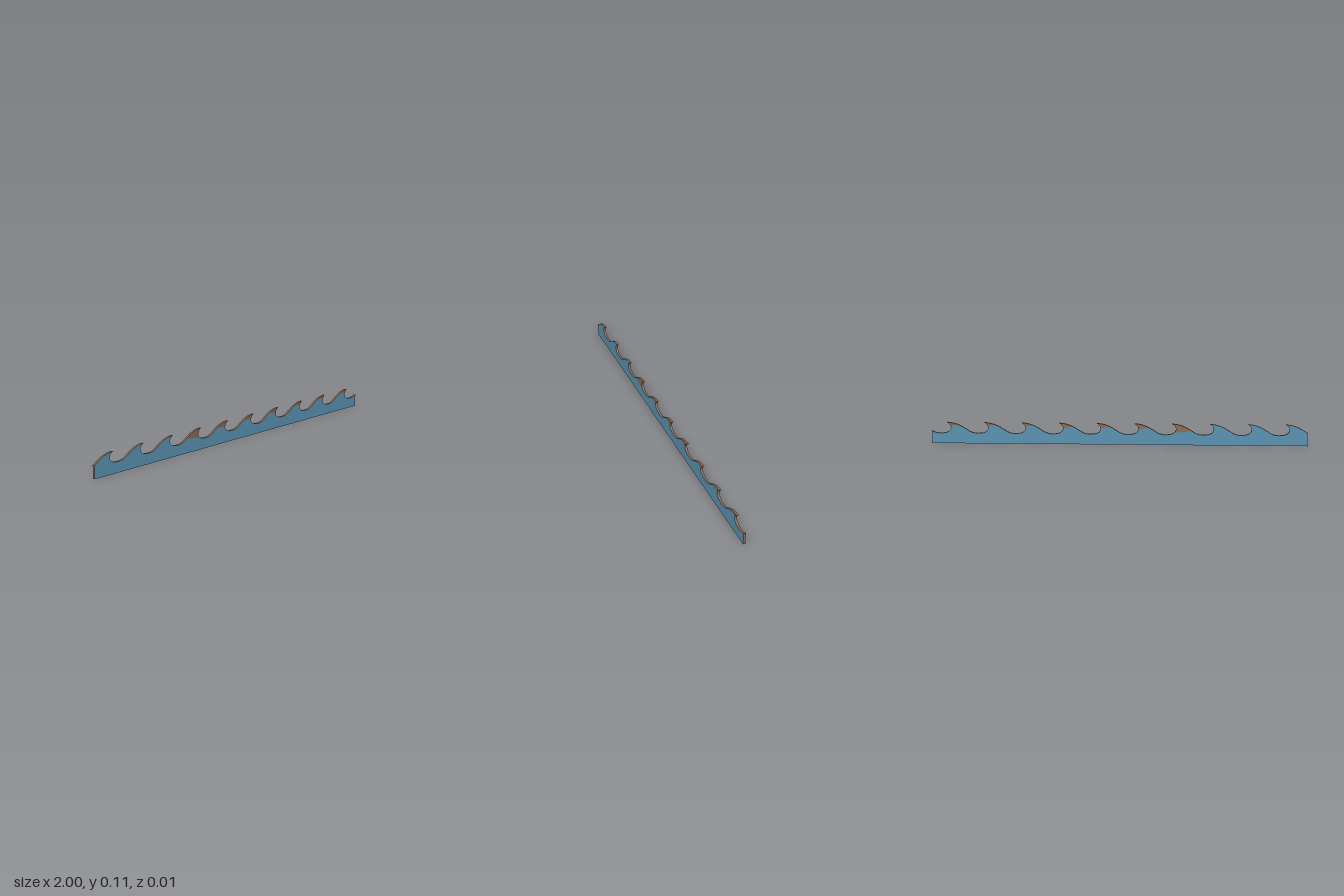
import * as THREE from 'three';

const PERIOD = 0.2, WAVES = 10, FIRST_TIP = -0.882, DEPTH = 0.012;
const v = (x, y) => new THREE.Vector2(x, y);
const bezier = (...p) => new THREE.CubicBezierCurve(...p.map(([x, y]) => v(x, y)));

// One wave, measured from its tip: rising back, hollow curl, trough
const back = bezier([-0.118, 0.068], [-0.075, 0.098], [-0.045, 0.112], [0, 0.114]).getPoints(10);
const curl = bezier([0, 0.114], [-0.035, 0.095], [-0.025, 0.058], [0.02, 0.056]).getPoints(10);
const trough = bezier([0.02, 0.056], [0.045, 0.054], [0.062, 0.056], [0.082, 0.068]).getPoints(6);

// Upright sheet centred on z = 0
function sheet(points, depth) {
  const geometry = new THREE.ExtrudeGeometry(new THREE.Shape(points), { depth, bevelEnabled: false });
  return geometry.translate(0, 0, -depth / 2);
}

export function createModel() {
  const blue = new THREE.MeshStandardMaterial({ color: 0x5a92b2 });
  blue.name = 'water blue';
  const brown = new THREE.MeshStandardMaterial({ color: 0x8b6b52 });
  brown.name = 'bare wood';
  const group = new THREE.Group();
  group.name = 'waveBoard';

  // Board with painted faces and bare edges
  const outline = [v(-1, 0)];
  for (let i = 0; i < WAVES; i++) {
    const x = FIRST_TIP + i * PERIOD;
    const wave = [...back, ...curl.slice(1), ...trough.slice(1, -1)];
    outline.push(...wave.map((p) => v(p.x + x, p.y)));
  }
  outline.push(v(1, 0.068), v(1, 0));
  const board = new THREE.Mesh(sheet(outline.reverse(), DEPTH), [blue, brown]);
  board.name = 'board';
  group.add(board);

  // Unpainted crests on both faces: [wave, first back point, last curl point]
  const patches = [[3, 1, 7], [4, 3, 4], [5, 4, 4], [6, 4, 4], [7, 5, 3], [8, 5, 3], [9, 5, 3]];
  for (const [i, start, end] of patches) {
    const points = [...back.slice(start), ...curl.slice(1, end + 1)];
    const crest = new THREE.Mesh(sheet(points.reverse(), DEPTH + 0.0006), brown);
    crest.position.x = FIRST_TIP + i * PERIOD;
    crest.name = 'bareCrest' + i;
    group.add(crest);
  }
  return group;
}
